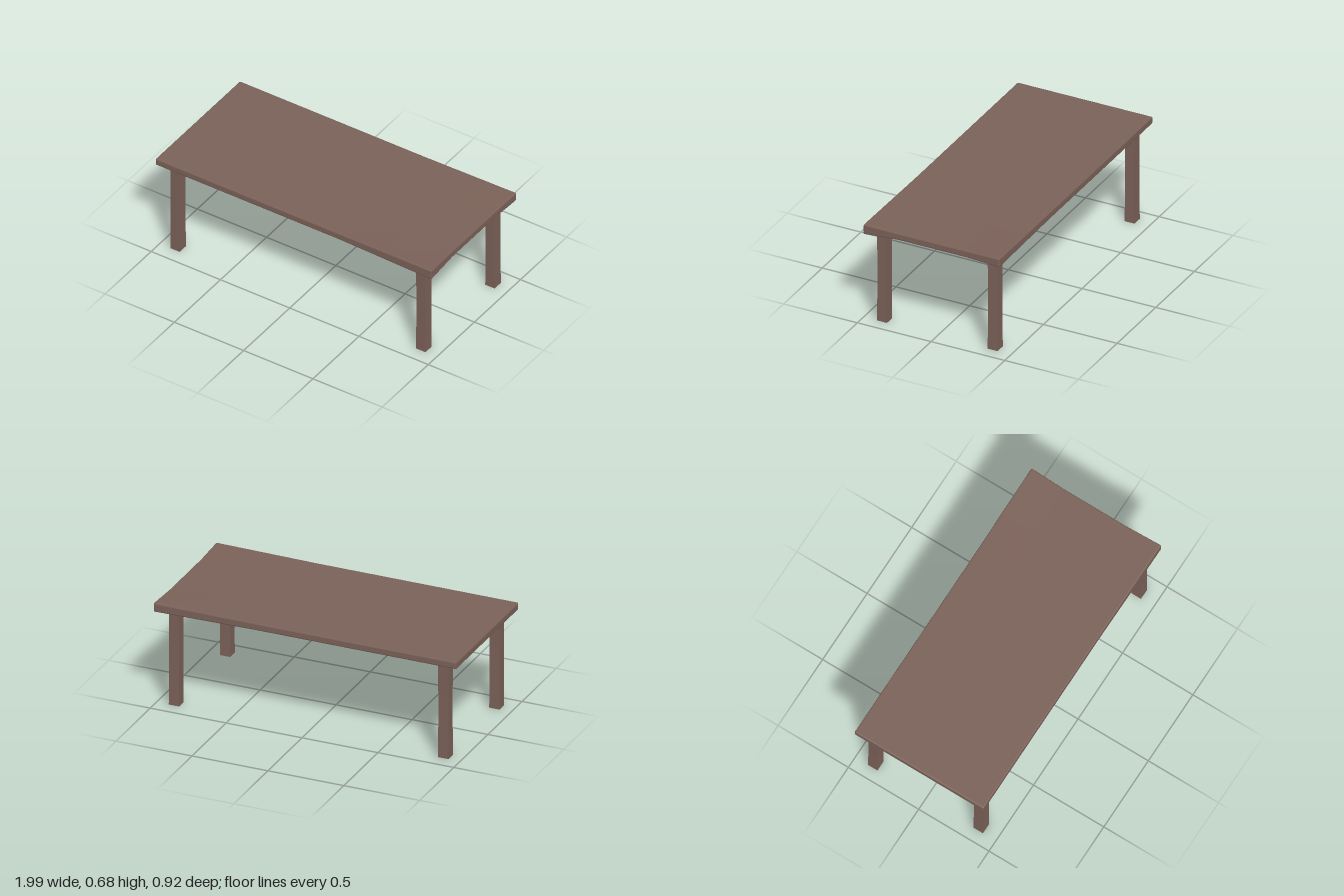
import * as THREE from 'three';

const wood = new THREE.MeshStandardMaterial({ color: 0x7a6158, flatShading: true });
const HALF_X = 0.997, HALF_Z = 0.458, TOP = 0.68, BOTTOM = 0.633, BEVEL = 0.008;

// Place grid line i of n so that the outer two lines at each side bound the bevel
function station(t, n, half) {
  const i = Math.round((t + 0.5) * n);
  if (i === 0 || i === n) return Math.sign(t) * half;
  return (((i - 1) / (n - 2)) * 2 - 1) * (half - BEVEL);
}

// Bevelled slab, swelling slightly at the corners of its left end
function makeTop() {
  const nx = 8, ny = 3, nz = 6, halfY = (TOP - BOTTOM) / 2;
  const geometry = new THREE.BoxGeometry(1, 1, 1, nx, ny, nz);
  const pos = geometry.attributes.position;
  const inner = new THREE.Vector3(HALF_X - BEVEL, halfY - BEVEL, HALF_Z - BEVEL);
  const low = inner.clone().negate();
  const p = new THREE.Vector3(), core = new THREE.Vector3();
  for (let i = 0; i < pos.count; i++) {
    p.set(station(pos.getX(i), nx, HALF_X), station(pos.getY(i), ny, halfY), station(pos.getZ(i), nz, HALF_Z));
    core.copy(p).clamp(low, inner);
    p.sub(core).normalize().multiplyScalar(BEVEL).add(core);
    const endX = Math.max(0, (p.x - 0.33) / 0.67);
    const endZ = Math.max(0, (Math.abs(p.z) - 0.225) / 0.235);
    const swell = endX * endZ;
    const drop = p.z > 0 ? 0.016 : 0.007;
    p.y += swell * (p.y > 0 ? 0.005 : -drop);
    p.z += Math.sign(p.z) * swell * 0.004;
    p.x -= endX * (1 - endZ) * 0.007;
    pos.setXYZ(i, p.x, p.y + (TOP + BOTTOM) / 2, p.z);
  }
  geometry.computeVertexNormals();
  const mesh = new THREE.Mesh(geometry, wood);
  mesh.name = 'tableTop';
  return mesh;
}

// Square leg, hewn very slightly narrower around its middle
function makeLeg(name, x, z) {
  const height = 0.636;
  const geometry = new THREE.BoxGeometry(0.068, height, 0.067, 1, 3, 1);
  geometry.translate(0, height / 2, 0);
  const pos = geometry.attributes.position;
  for (let i = 0; i < pos.count; i++) {
    const y = pos.getY(i);
    if (y > 0.01 && y < height - 0.01) {
      pos.setX(i, pos.getX(i) * 0.97);
      pos.setZ(i, pos.getZ(i) * 0.97);
    }
  }
  geometry.computeVertexNormals();
  const mesh = new THREE.Mesh(geometry, wood);
  mesh.name = name;
  mesh.position.set(x, 0, z);
  return mesh;
}

export function createModel() {
  const table = new THREE.Group();
  table.name = 'table';
  table.add(makeTop());
  for (const [side, x] of [['Left', 0.885], ['Right', -0.889]]) {
    for (const [end, z] of [['front', 0.375], ['back', -0.375]]) {
      table.add(makeLeg(`${end}${side}Leg`, x, z));
    }
  }
  return table;
}
